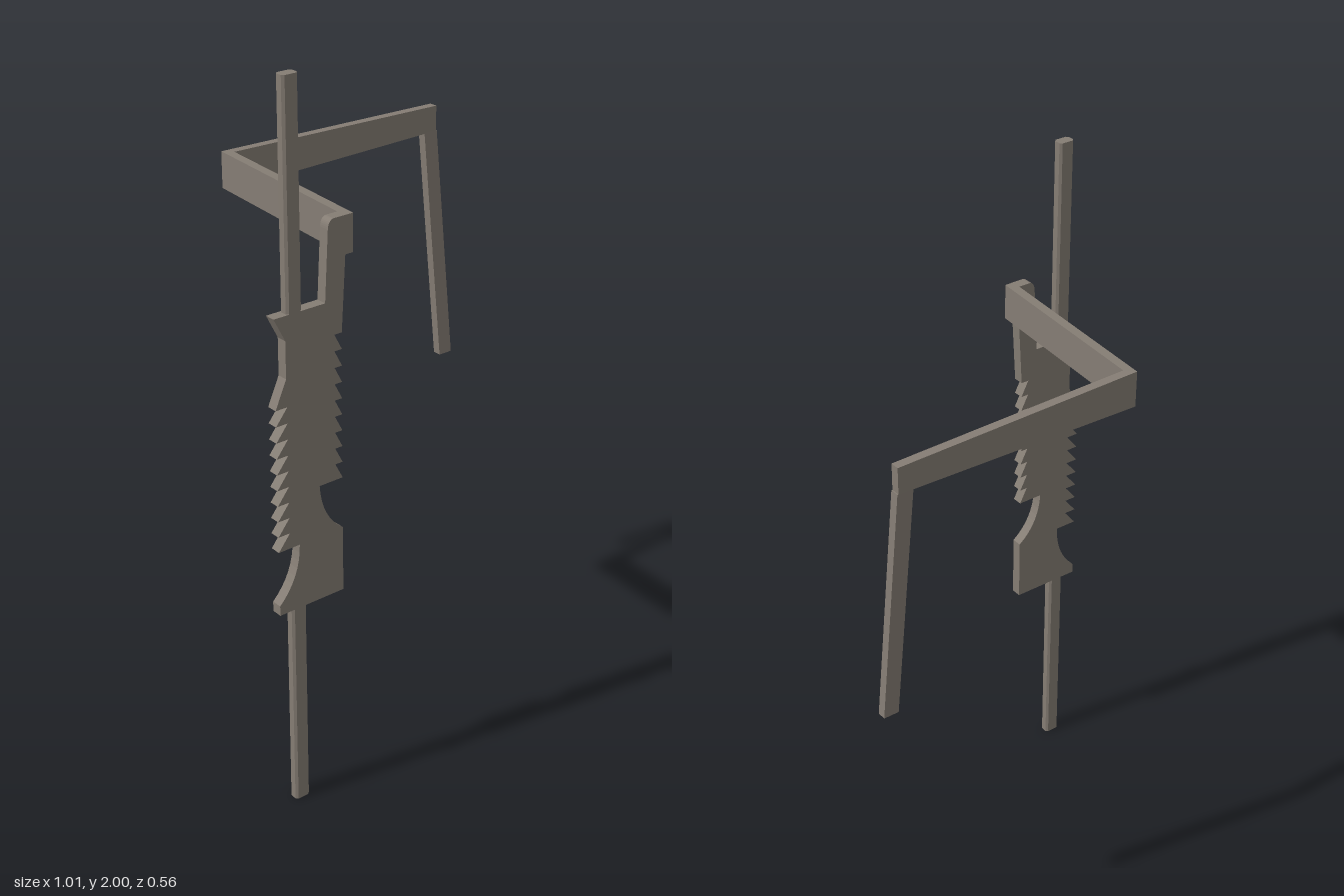
import * as THREE from 'three';
import { ConvexGeometry } from 'three/addons/geometries/ConvexGeometry.js';

const material = new THREE.MeshStandardMaterial({ color: 0x857d74, flatShading: true });
const Z0 = 0.25, DEPTH = 0.03; // flat front layer shared by grip and rods

export function createModel() {
  const group = new THREE.Group();
  const add = (name, geometry) => {
    const mesh = new THREE.Mesh(geometry, material);
    mesh.name = name;
    group.add(mesh);
    return mesh;
  };
  // Solid between two end sections, each a list of corners
  const beam = (name, a, b) =>
    add(name, new ConvexGeometry([...a, ...b].map(p => new THREE.Vector3(...p))));

  // Notched grip plate with the post that rises into the arm
  const s = new THREE.Shape();
  const TEETH = 9;
  // Row of saw teeth, each with a flat underside; drawn downward or upward
  const teeth = (from, to, valley, tip) => {
    const step = (to - from) / TEETH;
    for (let i = 0; i < TEETH; i++) {
      const y = from + i * step;
      if (step < 0) { s.lineTo(valley, y); s.lineTo(tip, y + step); }
      else { s.lineTo(tip, y); s.lineTo(valley, y + step); }
    }
  };
  s.moveTo(-0.352, 1.42);
  s.lineTo(-0.505, 1.42);
  s.lineTo(-0.472, 1.355);
  s.lineTo(-0.472, 1.255);
  s.lineTo(-0.505, 1.18);
  teeth(1.18, 0.785, -0.47, -0.505);
  s.lineTo(-0.44, 0.785);
  s.quadraticCurveTo(-0.44, 0.69, -0.505, 0.628);
  s.lineTo(-0.505, 0.6);
  s.lineTo(-0.302, 0.6);
  s.lineTo(-0.302, 0.785);
  s.quadraticCurveTo(-0.37, 0.835, -0.375, 0.93);
  teeth(0.93, 1.33, -0.325, -0.302);
  s.lineTo(-0.302, 1.33);
  s.lineTo(-0.29, 1.53);
  s.lineTo(-0.29, 1.63);
  s.lineTo(-0.325, 1.63);
  s.quadraticCurveTo(-0.34, 1.628, -0.342, 1.605);
  add('gripPlate', new THREE.ExtrudeGeometry(s, { depth: DEPTH, bevelEnabled: false, curveSegments: 8 }))
    .position.z = Z0;

  // Rod above and below the grip, with chamfered corners
  const w = 0.0225, d = DEPTH / 2, c = 0.006;
  const section = new THREE.Shape([
    [-w + c, -d], [w - c, -d], [w, -d + c], [w, d - c],
    [w - c, d], [-w + c, d], [-w, d - c], [-w, -d + c],
  ].map(p => new THREE.Vector2(...p)));
  for (const [name, y0, y1] of [['lowerRod', 0, 0.6], ['upperRod', 1.42, 2]]) {
    const g = new THREE.ExtrudeGeometry(section, { depth: y1 - y0, bevelEnabled: false });
    g.rotateX(-Math.PI / 2);
    add(name, g).position.set(-0.4425, y0, Z0 + d);
  }

  // Arm running back, mitred at both corners
  const slab = (x, z, y0, y1) => [[x, y0, z], [x, y1, z]];
  beam('sideArm',
    [...slab(-0.29, 0.25, 1.53, 1.63), ...slab(-0.29, 0.28, 1.53, 1.63), ...slab(-0.266, 0.28, 1.53, 1.63)],
    [...slab(-0.252, -0.283, 1.53, 1.63), ...slab(-0.228, -0.258, 1.53, 1.63)]);

  // Arm across the back, tapering slightly
  beam('backArm',
    [...slab(-0.252, -0.283, 1.53, 1.63), ...slab(-0.228, -0.258, 1.53, 1.63)],
    [...slab(0.46, -0.283, 1.545, 1.618), ...slab(0.46, -0.258, 1.545, 1.618)]);

  // Hanging leg, leaning outward and forward
  const foot = (x0, x1, y, z0, z1) => [[x0, y, z0], [x1, y, z0], [x1, y, z1], [x0, y, z1]];
  beam('hangingLeg',
    foot(0.418, 0.463, 1.546, -0.283, -0.258),
    foot(0.458, 0.502, 0.865, -0.247, -0.222));

  return group;
}
